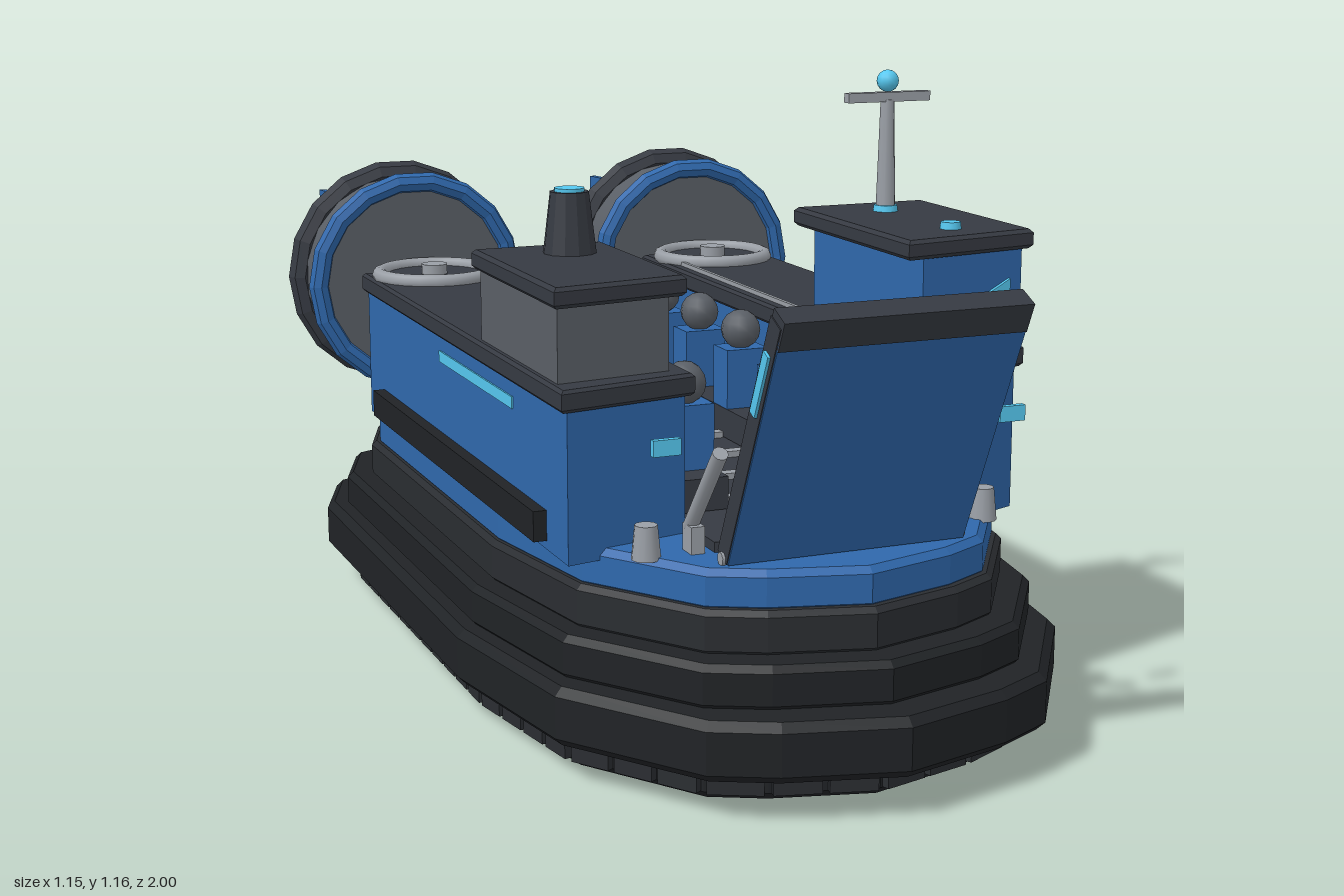
import * as THREE from 'three';

const mat = (color, flatShading = true) => new THREE.MeshStandardMaterial({ color, flatShading });

export function createModel() {
  const root = new THREE.Group();
  const blue = mat(0x2f68ac), dark = mat(0x363a42), black = mat(0x202326), skirtGrey = mat(0x2a2d31);
  const cyan = mat(0x55c8f0, false), grey = mat(0x9a9fa6, false), mid = mat(0x5a5f66, false);

  const add = (name, geo, material, x = 0, y = 0, z = 0, parent = root) => {
    const m = new THREE.Mesh(geo, material);
    m.name = name;
    m.position.set(x, y, z);
    parent.add(m);
    return m;
  };
  const box = (name, material, w, h, d, x, y, z, parent) =>
    add(name, new THREE.BoxGeometry(w, h, d), material, x, y, z, parent);
  const cyl = (name, material, rt, rb, h, x, y, z, n = 12, parent = root) =>
    add(name, new THREE.CylinderGeometry(rt, rb, h, n), material, x, y, z, parent);

  // Upright prism from an [x, z] footprint, with an optional chamfer
  const prism = (name, material, pts, y0, y1, b = 0) => {
    const shape = new THREE.Shape(pts.map(([x, z]) => new THREE.Vector2(x, -z)));
    const geo = new THREE.ExtrudeGeometry(shape, {
      depth: y1 - y0 - 2 * b, bevelEnabled: b > 0, bevelThickness: b, bevelSize: b, bevelOffset: -b, bevelSegments: 1,
    });
    geo.rotateX(-Math.PI / 2);
    return add(name, geo, material, 0, y0 + b, 0);
  };

  // Hull outline, unit half-width and half-length, squarer at the stern
  const half = [[0.42, -0.975], [0.88, -0.86], [1, -0.68], [1, 0.28], [0.89, 0.64], [0.58, 0.89], [0.38, 0.945]];
  const unit = [[0, -1], ...half, [0, 1], ...half.map(([x, z]) => [-x, z]).reverse()];
  const outline = (w, l) => unit.map(([x, z]) => [x * w, z * l]);

  // Stepped skirt and deck
  prism('fingerSkirt', black, outline(0.485, 0.89), 0, 0.08, 0.015);
  prism('lowerSkirt', black, outline(0.55, 1), 0.07, 0.175, 0.015);
  prism('middleSkirt', black, outline(0.515, 0.93), 0.17, 0.25, 0.012);
  prism('upperSkirt', skirtGrey, outline(0.47, 0.87), 0.245, 0.325, 0.01);
  prism('deck', blue, outline(0.455, 0.85), 0.315, 0.39, 0.012);
  prism('bottomPlate', cyan, outline(0.38, 0.74), -0.001, 0.01);
  prism('bottomHatch', dark, [[-0.03, -0.07], [0.03, -0.07], [0.045, 0], [0.03, 0.07], [-0.03, 0.07], [-0.045, 0]], -0.003, 0.005);

  // Skirt fingers spaced around the outline
  const ring = outline(0.488, 0.893);
  ring.forEach(([x0, z0], i) => {
    const [x1, z1] = ring[(i + 1) % ring.length];
    const len = Math.hypot(x1 - x0, z1 - z0), n = Math.max(1, Math.round(len / 0.08));
    for (let k = 0; k < n; k++) {
      const t = (k + 0.5) / n;
      const f = box('skirtFinger', skirtGrey, len / n - 0.012, 0.052, 0.024, x0 + (x1 - x0) * t, 0.042, z0 + (z1 - z0) * t);
      f.rotation.y = -Math.atan2(z1 - z0, x1 - x0);
    }
  });

  // Side hulls; the bow end of each is cut at its own slant
  for (const s of [1, -1]) {
    const inner = s > 0 ? 0.63 : 0.54, outer = s > 0 ? 0.54 : 0.59;
    const foot = (x0, x1, e) => [[s * x0, inner + e], [s * x1, outer + e], [s * x1, -0.68], [s * x0, -0.68]];
    prism('sideHull', blue, foot(0.21, 0.445, 0), 0.37, 0.645);
    prism('sideHullTop', dark, foot(0.195, 0.458, 0.01), 0.637, 0.677, 0.006);
    box('sideFender', black, 0.035, 0.055, 1.05, s * 0.452, 0.413, -0.045);
    box('deckRail', grey, 0.008, 0.01, 0.71, s * 0.222, 0.681, -0.22);

    // Lift-fan intake on the hull top
    const intake = add('intakeRing', new THREE.TorusGeometry(0.117, 0.016, 8, 24), grey, s * 0.325, 0.684, -0.58);
    intake.rotation.x = Math.PI / 2;
    cyl('intakeDisc', dark, 0.11, 0.11, 0.012, s * 0.325, 0.678, -0.58, 20);
    cyl('intakeHub', grey, 0.028, 0.028, 0.03, s * 0.325, 0.69, -0.58, 12);

    // Bow fittings
    cyl('bollard', grey, 0.02, 0.026, 0.06, s * 0.325, 0.415, 0.645, 12);
    box('bowLight', cyan, 0.05, 0.028, 0.012, s * 0.325, 0.6, 0.735);
    const strut = cyl('rampStrut', grey, 0.014, 0.014, 0.2, s * 0.24, 0.51, 0.70, 10);
    strut.rotation.x = 0.68;
    box('strutFoot', grey, 0.025, 0.05, 0.04, s * 0.24, 0.413, 0.65);

    // Bench with a row of seated passengers
    box('bench', dark, 0.09, 0.06, 1.04, s * 0.15, 0.44, -0.03);
    for (let i = 0; i < 5; i++) {
      const z = -0.455 + i * 0.212;
      box('passengerBody', blue, 0.088, 0.12, 0.07, s * 0.15, 0.53, z);
      add('passengerHead', new THREE.SphereGeometry(0.04, 12, 8), mid, s * 0.15, 0.625, z);
    }

    // Thrust fan with shroud, rings and rudders
    const fan = new THREE.Group();
    fan.name = 'thrustFan';
    fan.position.set(s * 0.328, 0.648, 0);
    root.add(fan);
    const shroud = cyl('fanShroud', mid, 0.216, 0.216, 0.17, 0, 0, -0.79, 18, fan);
    shroud.rotation.x = Math.PI / 2;
    add('fanFrontRing', new THREE.TorusGeometry(0.218, 0.022, 8, 18), blue, 0, 0, -0.712, fan);
    add('fanRearRing', new THREE.TorusGeometry(0.219, 0.03, 8, 18), dark, 0, 0, -0.864, fan);
    for (let i = -1; i <= 1; i++) {
      const r = box('rudder', blue, 0.014, 0.345, 0.125, i * 0.13 + 0.006, 0, -0.936, fan);
      r.rotation.y = 0.17;
    }
    box('fanMount', dark, 0.12, 0.07, 0.08, s * 0.328, 0.415, -0.75);
  }
  box('sideLightStrip', cyan, 0.006, 0.022, 0.45, -0.445, 0.595, 0.08);

  // Well floor, tread bars and stern
  prism('wellFloor', dark, [[-0.21, -0.64], [0.21, -0.64], [0.21, 0.67], [0, 0.72], [-0.21, 0.67]], 0.388, 0.408);
  for (let i = 0; i < 9; i++) box('treadBar', grey, 0.21, 0.014, 0.024, 0, 0.413, -0.645 + i * 0.155);
  box('sternSill', blue, 0.42, 0.05, 0.05, 0, 0.41, -0.68);
  box('sternPlate', dark, 0.3, 0.015, 0.09, 0, 0.394, -0.755);
  box('sternLight', cyan, 0.24, 0.016, 0.01, 0, 0.396, -0.808);

  // Control cabin on the left hull
  prism('cabin', blue, [[0.225, 0.59], [0.445, 0.555], [0.445, 0.15], [0.225, 0.15]], 0.67, 0.865);
  prism('cabinRoof', dark, [[0.185, 0.61], [0.463, 0.565], [0.463, 0.14], [0.185, 0.14]], 0.857, 0.893, 0.007);
  const slope = Math.atan2(0.035, 0.22);
  const pane = new THREE.Shape([[-0.083, -0.038], [0.083, -0.038], [0.083, 0.038]].map((p) => new THREE.Vector2(...p)));
  const win = add('cabinWindow', new THREE.ExtrudeGeometry(pane, { depth: 0.012, bevelEnabled: false }), cyan, 0.333, 0.767, 0.567);
  win.rotation.y = slope;
  cyl('roofBeacon', cyan, 0.018, 0.02, 0.016, 0.325, 0.898, 0.505);
  cyl('mastCollar', cyan, 0.022, 0.024, 0.014, 0.323, 0.898, 0.255);
  cyl('mast', grey, 0.013, 0.019, 0.21, 0.323, 1.0, 0.255, 10);
  box('mastCrossbar', grey, 0.172, 0.018, 0.02, 0.323, 1.11, 0.255);
  add('mastLight', new THREE.SphereGeometry(0.021, 12, 8), cyan, 0.323, 1.14, 0.255);

  // Equipment house and exhaust on the right hull
  prism('equipmentHouse', mid, [[-0.23, 0.515], [-0.445, 0.545], [-0.445, 0.125], [-0.23, 0.125]], 0.67, 0.815);
  prism('equipmentRoof', dark, [[-0.2, 0.525], [-0.457, 0.565], [-0.457, 0.11], [-0.2, 0.11]], 0.808, 0.845, 0.007);
  cyl('exhaust', dark, 0.036, 0.05, 0.115, -0.302, 0.9, 0.215);
  cyl('exhaustCap', cyan, 0.028, 0.028, 0.014, -0.302, 0.957, 0.215);

  // Bow ramp, hinged at its foot and leaning forward
  const ramp = new THREE.Group();
  ramp.name = 'bowRamp';
  ramp.position.set(0, 0.4, 0.74);
  ramp.rotation.x = 0.437;
  root.add(ramp);
  box('rampPanel', blue, 0.446, 0.46, 0.026, 0, 0.23, 0.006, ramp);
  box('rampTopBar', dark, 0.446, 0.055, 0.044, 0, 0.468, 0, ramp);
  cyl('rampHinge', grey, 0.012, 0.012, 0.46, 0, 0, 0, 8, ramp).rotation.z = Math.PI / 2;
  for (let i = 0; i < 4; i++) box('rampSlat', grey, 0.4, 0.018, 0.016, 0, 0.08 + i * 0.105, -0.012, ramp);
  for (const s of [1, -1]) {
    box('rampRail', dark, 0.024, 0.48, 0.04, s * 0.213, 0.24, -0.004, ramp);
    box('rampLight', cyan, 0.008, 0.12, 0.02, s * 0.226, 0.36, -0.004, ramp);
  }
  return root;
}
